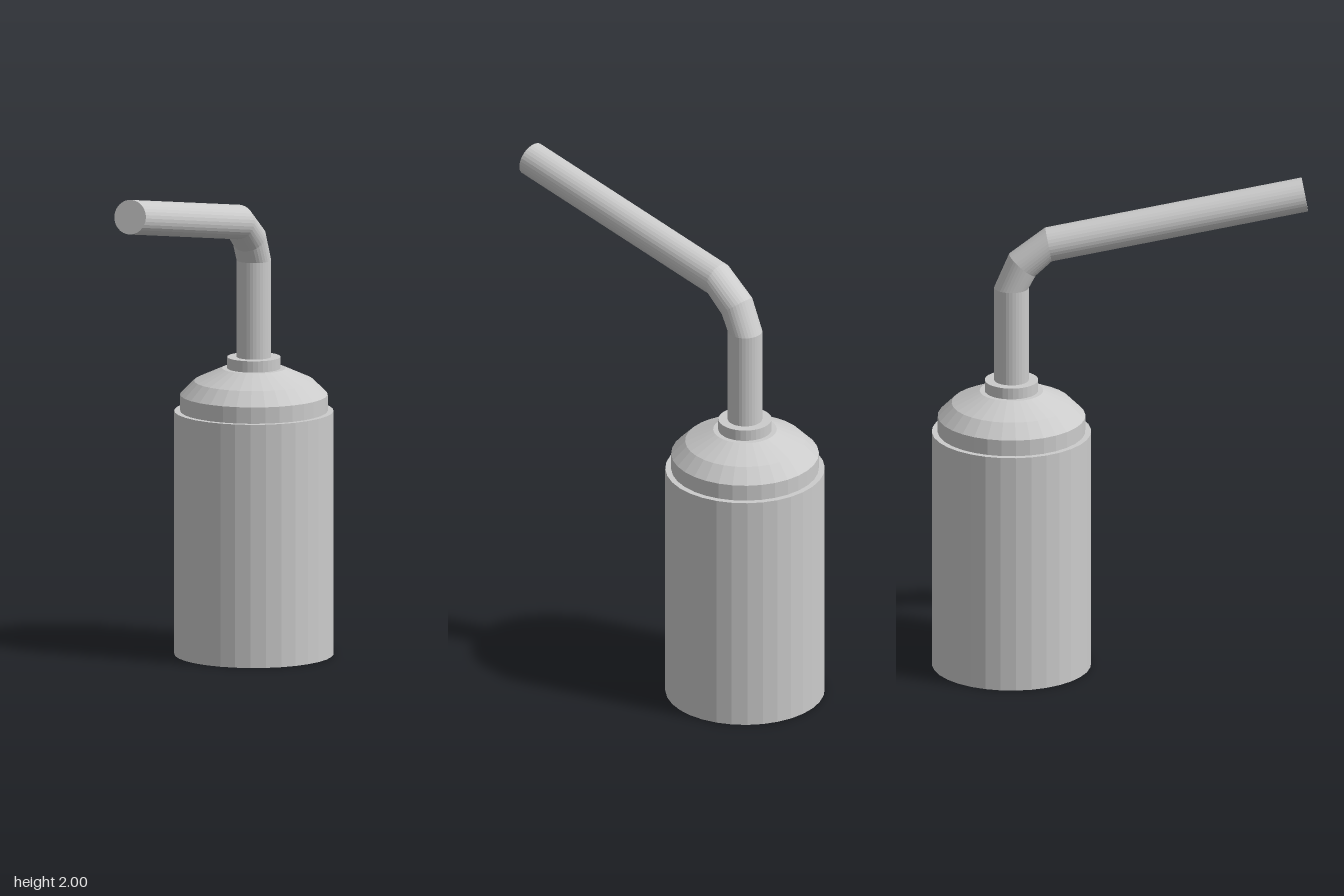
import * as THREE from 'three';

const SIDES = 32;
const AXIS_Z = -0.425; // bottle axis
const PIPE_R = 0.068;

// Round pipe bent in the YZ plane; stations are [y, z, tilt from vertical in degrees]
function bentPipe(stations, radius) {
  const pos = [], idx = [];
  for (const [y, z, deg] of stations) {
    const t = THREE.MathUtils.degToRad(deg);
    for (let i = 0; i < SIDES; i++) {
      const a = (i / SIDES) * Math.PI * 2;
      const n = radius * Math.sin(a);
      pos.push(radius * Math.cos(a), y + n * Math.sin(t), z - n * Math.cos(t));
    }
  }
  const last = (stations.length - 1) * SIDES;
  const startCentre = pos.length / 3, endCentre = startCentre + 1;
  for (const [y, z] of [stations[0], stations[stations.length - 1]]) pos.push(0, y, z);
  for (let i = 0; i < SIDES; i++) {
    const k = (i + 1) % SIDES;
    for (let j = 0; j < last; j += SIDES) {
      idx.push(j + i, j + k, j + SIDES + k, j + i, j + SIDES + k, j + SIDES + i);
    }
    idx.push(startCentre, k, i, endCentre, last + i, last + k);
  }
  const geo = new THREE.BufferGeometry();
  geo.setAttribute('position', new THREE.Float32BufferAttribute(pos, 3));
  geo.setIndex(idx);
  geo.computeVertexNormals();
  return geo;
}

export function createModel() {
  const group = new THREE.Group();
  group.name = 'pumpBottle';
  const material = new THREE.MeshStandardMaterial({ color: 0xcccccc, flatShading: true });

  const add = (name, geometry, y = 0, z = 0) => {
    const mesh = new THREE.Mesh(geometry, material);
    mesh.name = name;
    mesh.position.set(0, y, z);
    group.add(mesh);
  };

  // Main container
  add('body', new THREE.CylinderGeometry(0.313, 0.313, 0.97, SIDES), 0.485, AXIS_Z);

  // Neck band and stepped dome
  const dome = [[0, 0.96], [0.29, 0.96], [0.29, 1.035], [0.235, 1.09], [0.125, 1.14], [0, 1.14]];
  add('shoulder', new THREE.LatheGeometry(dome.map(([r, y]) => new THREE.Vector2(r, y)), SIDES), 0, AXIS_Z);

  // Collar around the pipe
  add('collar', new THREE.CylinderGeometry(0.105, 0.105, 0.055, SIDES), 1.1575, AXIS_Z);

  // Riser, elbow and long spout
  add('spout', bentPipe([
    [1.15, AXIS_Z, 0],
    [1.57, AXIS_Z, 0],
    [1.664, -0.382, 40],
    [1.746, -0.28, 79.6],
    [1.933, 0.728, 79.6],
  ], PIPE_R));

  return group;
}
